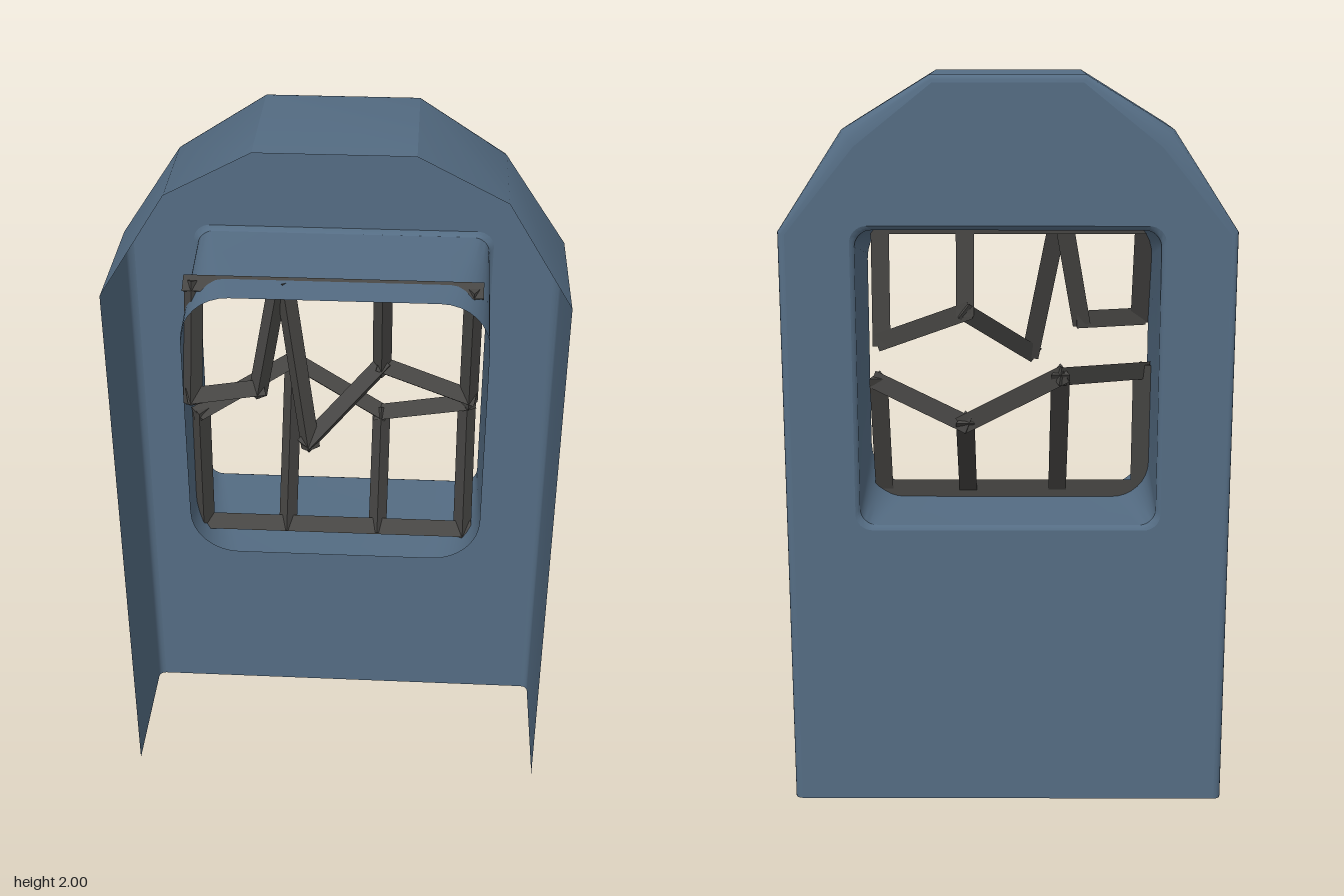
import * as THREE from 'three';
import { toCreasedNormals } from 'three/addons/utils/BufferGeometryUtils.js';

const BACK = -0.24, FRONT = 0.16;

// Skin a list of equal-length point rows into a surface
function loft(rows, closed) {
  const n = rows[0].length, pos = rows.flat(2), idx = [];
  for (let r = 0; r < rows.length - 1; r++) {
    for (let i = 0; i < (closed ? n : n - 1); i++) {
      const a = r * n + i, b = r * n + (i + 1) % n, c = a + n, d = b + n;
      idx.push(a, b, d, a, d, c);
    }
  }
  const g = new THREE.BufferGeometry();
  g.setAttribute('position', new THREE.Float32BufferAttribute(pos, 3));
  g.setIndex(idx);
  return toCreasedNormals(g, 0.5);
}

// Rounded window outline, counter-clockwise
function windowLoop(half, r, cy = 1.205) {
  const pts = [], h = half - r;
  [[1, 1], [-1, 1], [-1, -1], [1, -1]].forEach(([sx, sy], q) => {
    for (let k = 0; k <= 8; k++) {
      const a = (q + k / 8) * Math.PI / 2;
      pts.push([sx * h + r * Math.cos(a), cy + sy * h + r * Math.sin(a)]);
    }
  });
  return pts;
}

export function createModel() {
  const group = new THREE.Group();
  const wallBlue = new THREE.MeshStandardMaterial({ color: 0x546c83, side: THREE.DoubleSide });
  wallBlue.name = 'wall blue';
  const frameGrey = new THREE.MeshStandardMaterial({ color: 0x464543, flatShading: true });
  frameGrey.name = 'frame grey';

  const add = (name, geo, mat, parent = group) => {
    const m = new THREE.Mesh(geo, mat);
    m.name = name;
    parent.add(m);
    return m;
  };

  // Outline: x, y, front z, bevel size, bevel direction
  const half = [
    [0.6, 0, 0.16, 0.02, 1, 0],
    [0.6, 1.6, 0.16, 0.02, 1, 0.3],
    [0.43, 1.86, 0.11, 0.045, 0.75, 0.9],
    [0.2, 2, 0.16, 0.02, 0.3, 1],
  ];
  const outline = [...half, ...half.map(p => [-p[0], p[1], p[2], p[3], -p[4], p[5]]).reverse()];

  // Side and roof walls with a rounded back edge
  const rows = [outline.map(p => [p[0], p[1], p[2]])];
  for (let k = 0; k <= 4; k++) {
    const a = k / 4 * Math.PI / 2, inset = 1 - Math.cos(a);
    rows.push(outline.map(([x, y, , b, dx, dy]) =>
      [x - b * dx * inset, y - b * dy * inset, BACK + b * (1 - Math.sin(a))]));
  }
  add('outerWall', loft(rows, false), wallBlue);

  // Back panel with the window opening
  const toV = p => new THREE.Vector2(p[0], p[1]);
  const panel = new THREE.Shape(rows[rows.length - 1].map(toV));
  panel.holes.push(new THREE.Path(windowLoop(0.412, 0.045).map(toV)));
  add('backPanel', new THREE.ShapeGeometry(panel).translate(0, 0, BACK), wallBlue);

  // Window reveal, corners growing rounder toward the front
  const reveal = [[BACK, 0.412, 0.045], [BACK + 0.004, 0.405, 0.045], [BACK + 0.012, 0.4, 0.045],
    [-0.1, 0.4, 0.07], [0.03, 0.4, 0.1], [FRONT, 0.4, 0.13]];
  add('windowReveal', loft(reveal.map(([z, h, r]) => windowLoop(h, r).map(p => [p[0], p[1], z])), true), wallBlue);

  // Broken window frame made of three-sided bars, ridge to the front
  const frame = new THREE.Group();
  frame.name = 'brokenFrame';
  group.add(frame);
  const bar = (name, from, to, extra = 0.015) => {
    const a = new THREE.Vector3(...from), b = new THREE.Vector3(...to);
    const y = b.clone().sub(a), len = y.length();
    y.normalize();
    const z = new THREE.Vector3(0, 0, 1).addScaledVector(y, -y.z).normalize();
    const x = new THREE.Vector3().crossVectors(y, z);
    const m = add(name, new THREE.CylinderGeometry(0.029, 0.029, len + extra * 2, 3), frameGrey, frame);
    m.quaternion.setFromRotationMatrix(new THREE.Matrix4().makeBasis(x, y, z));
    m.position.copy(a).lerp(b, 0.5);
  };

  const Z = 0.06, TOP = 1.585, LOW = 0.83;
  bar('topRail', [-0.385, TOP, Z], [0.365, TOP, Z]);
  bar('bottomRail', [-0.385, LOW, Z], [0.365, LOW, Z]);

  // Upper half: bent outward at the left
  const paneL = [-0.375, 1.31, 0.17], paneR = [-0.205, 1.31, 0.12];
  const spike = [-0.065, 1.2, 0.2], fork = [0.12, 1.345, 0.04], upperEnd = [0.355, 1.26, 0.05];
  bar('upperLeftStile', [-0.375, TOP, Z], paneL);
  bar('upperPaneBottom', paneL, paneR);
  bar('upperPaneSide', paneR, [-0.155, TOP, Z]);
  bar('upperSpike', [-0.135, TOP, Z], spike);
  bar('upperMullion', [0.12, TOP, Z], fork);
  bar('upperRightStile', [0.355, TOP, Z], upperEnd);
  bar('upperBranch', spike, fork);
  bar('upperBranch', fork, upperEnd);

  // Lower half: bent inward
  const lowerRow = [[-0.375, 1.18, 0.04], [-0.14, 1.215, -0.2], [0.115, 1.075, -0.16], [0.355, 1.17, -0.07]];
  lowerRow.forEach((p, i) => {
    bar('lowerMullion', [p[0], LOW, Z], p);
    if (i) bar('lowerBranch', lowerRow[i - 1], p);
  });

  return group;
}
